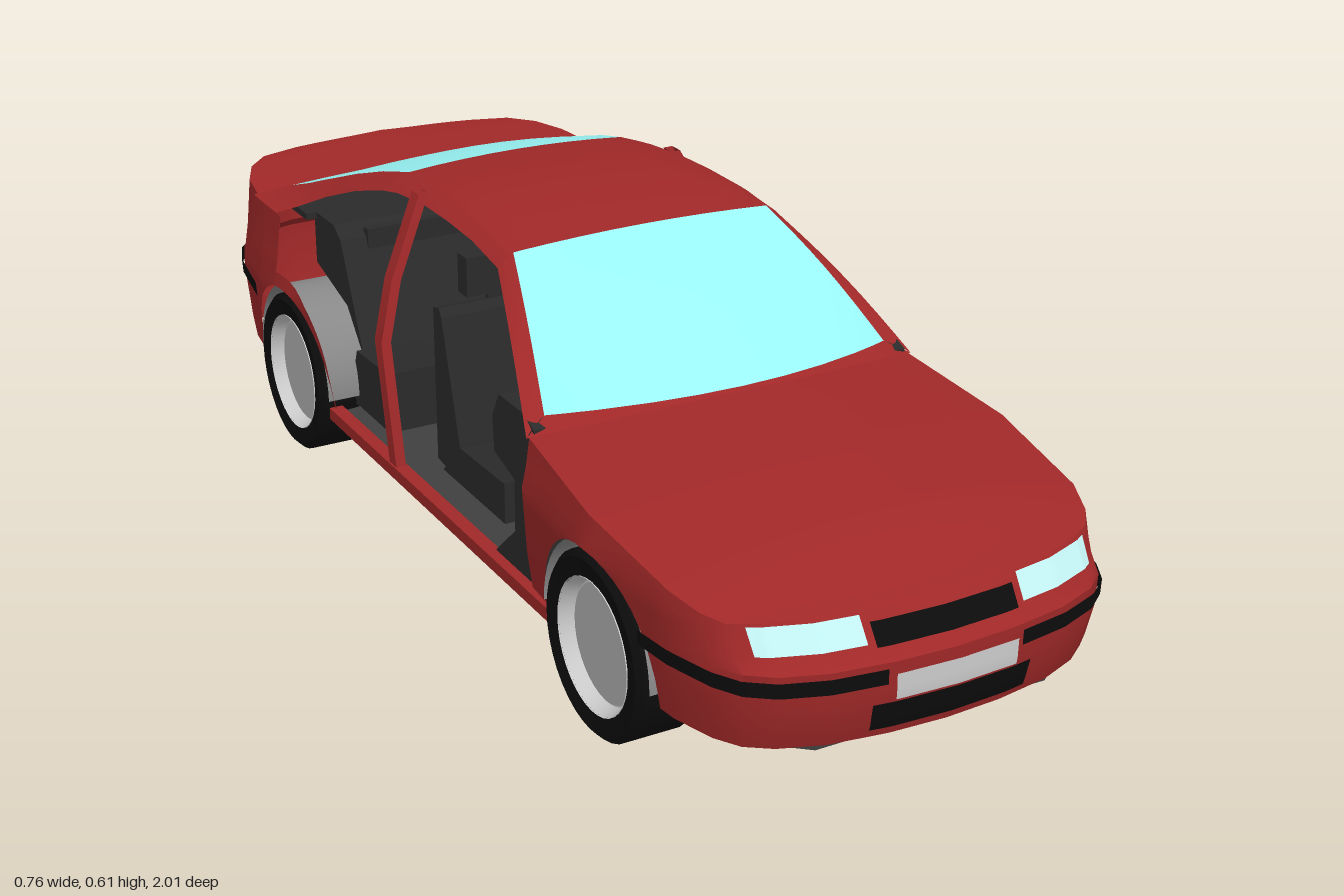
import * as THREE from 'three';
import { toCreasedNormals } from 'three/addons/utils/BufferGeometryUtils.js';

const mat = (color) => new THREE.MeshStandardMaterial({ color, side: THREE.DoubleSide });
const RED = mat(0xa02828), BLACK = mat(0x0c0c0c), TRIM = mat(0x2a2a2a), FLOOR = mat(0x404040),
  GREY = mat(0x888888), SILVER = mat(0xcccccc), GLASS = mat(0x99f5f5), LAMP = mat(0xc4f4f4);
const lerp = THREE.MathUtils.lerp, clamp = THREE.MathUtils.clamp;

// Piecewise linear lookup in a table of [key, value], keys ascending
function look(table, v) {
  if (v <= table[0][0]) return table[0][1];
  for (let i = 1; i < table.length; i++) {
    const [a, p] = table[i - 1], [b, q] = table[i];
    if (v <= b) return lerp(p, q, (v - a) / (b - a));
  }
  return table[table.length - 1][1];
}

// Surface through equal-length rows of points
function grid(rows) {
  const n = rows[0].length, index = [];
  for (let i = 0; i < rows.length - 1; i++) for (let j = 0; j < n - 1; j++) {
    const a = i * n + j, b = a + n;
    index.push(a, b, a + 1, b, b + 1, a + 1);
  }
  const g = new THREE.BufferGeometry();
  g.setAttribute('position', new THREE.Float32BufferAttribute(rows.flat(2), 3));
  g.setIndex(index);
  return toCreasedNormals(g, 0.6);
}
const flip = (row) => row.map(([x, y, z]) => [-x, y, z]);
const full = (row) => [...flip(row).reverse(), ...row.slice(1)]; // row starts on the centre line

// Plan outline [x, z] of each end, from the tip round to the door opening
const ends = {
  front: {
    sign: 1, axle: 0.6,
    outline: [[0, 1], [0.1, 0.995], [0.2, 0.98], [0.27, 0.955], [0.31, 0.925], [0.335, 0.88], [0.357, 0.8], [0.38, 0.6], [0.362, 0.37]],
    levels: [0.125, 0.15, 0.2, 0.25, 0.265, 0.285, 0.31, 0.345, 0.39],
    insetZ: [[0.12, 0.02], [0.15, 0.01], [0.2, 0], [0.25, 0], [0.265, 0.02], [0.31, 0.05]],
    top: (z) => look([[0.37, 0.39], [0.6, 0.365], [0.85, 0.325], [0.92, 0.31]], z),
  },
  rear: {
    sign: -1, axle: -0.58,
    outline: [[0, -1], [0.2, -0.993], [0.28, -0.97], [0.325, -0.92], [0.355, -0.84], [0.375, -0.7], [0.378, -0.58], [0.365, -0.41]],
    levels: [0.125, 0.17, 0.25, 0.28, 0.3, 0.36, 0.4, 0.45],
    insetZ: [[0.12, 0.025], [0.17, 0.01], [0.25, 0], [0.28, 0], [0.3, 0.025], [0.45, 0.03]],
    top: (z) => z > -0.62 ? arch(z, -0.58) + 0.025 : look([[-0.95, 0.45], [-0.75, 0.44]], z),
  },
};
const insetX = [[0.12, 0.05], [0.2, 0.02], [0.31, 0], [0.36, 0.03], [0.45, 0.055]];
const R = 0.165;
function arch(z, axle) {
  const d = Math.abs(z - axle);
  return d < R ? 0.148 + Math.sqrt(R * R - d * d) : 0.125;
}
function bodyPoint(end, x, y, z) {
  const w = clamp((Math.abs(z) - 0.8) / 0.15, 0, 1);
  return [x * (1 - look(insetX, y)), y, z - end.sign * w * look(end.insetZ, y)];
}
// Outline stations, refined round the wheel arch, tip first
function stations(end) {
  const byZ = end.outline.map(([x, z]) => [z, x]).sort((a, b) => a[0] - b[0]);
  const zs = byZ.map((p) => p[0]);
  for (let i = 0; i <= 20; i++) zs.push(end.axle + R * 0.9999 * Math.cos(Math.PI * i / 20));
  zs.push(end.axle + R + 0.001, end.axle - R - 0.001);
  if (end.sign < 0) zs.push(-0.6199, -0.6201, -0.76);
  return [...new Set(zs)].sort((a, b) => end.sign * (b - a)).map((z) => [look(byZ, z), z]);
}
const sideColumn = (end, [x, z]) => end.levels.map((l) => {
  const top = end.top(z);
  return bodyPoint(end, x, l === end.levels.at(-1) ? top : clamp(l, Math.min(arch(z, end.axle), top), top), z);
});

// Thin panel following the bumper surface
function patch(end, x0, x1, y0, y1, out = 0.005) {
  const rows = [];
  for (let j = 0; j <= 4; j++) {
    const y = lerp(y0, y1, j / 4), row = [];
    for (let i = 0; i <= 32; i++) {
      const x = lerp(x0, x1, i / 32);
      const p = bodyPoint(end, x, y, look(end.outline.slice(0, -1), Math.abs(x)));
      row.push([p[0] * 1.012, y, p[2] + end.sign * out]);
    }
    rows.push(row);
  }
  return grid(rows);
}

// Side profile [z, y] extruded across the car
function across(profile, width, x = 0) {
  const g = new THREE.ExtrudeGeometry(new THREE.Shape(profile.map((p) => new THREE.Vector2(...p))), { depth: width, bevelEnabled: false });
  return g.rotateY(-Math.PI / 2).translate(x + width / 2, 0, 0);
}

export function createModel() {
  const car = new THREE.Group();
  const add = (name, geo, material, x = 0, y = 0, z = 0) => {
    const m = new THREE.Mesh(geo, material);
    m.name = name;
    m.position.set(x, y, z);
    car.add(m);
    return m;
  };
  const { front, rear } = ends;

  // Bonnet, front wings and front bumper in one skin
  const hoodHeight = [[0.37, 0.42], [0.6, 0.4], [0.78, 0.372], [0.9, 0.345], [0.95, 0.328], [1, 0.31]];
  const frontRows = stations(front).map((s) => {
    const side = sideColumn(front, s), [ex, ey, ez] = side.at(-1);
    const bend = 0.06 * clamp((0.9 - s[1]) / 0.5, 0, 1), yc = look(hoodHeight, s[1]);
    const top = [0, 0.2, 0.4, 0.6, 0.8, 0.92].map((t) => [ex * t, lerp(yc, ey, t * t), ez + bend * (1 - t * t)]);
    return full([...top, ...side.reverse()]);
  });
  add('bonnetAndWings', grid(frontRows), RED);

  // Rear quarters, tail and boot lid
  const rearStations = stations(rear);
  const quarter = rearStations.map((s) => sideColumn(rear, s));
  add('rearQuartersAndTail', grid([...quarter.map(flip).reverse(), ...quarter]), RED);
  const deck = rearStations.map((s, i) => [s[1], quarter[i].at(-1)]).filter(([z]) => z <= -0.759)
    .map(([, [x, y, z]]) => full([0, 0.3, 0.6, 0.8, 1].map((t) => [x * t, lerp(0.456, y, t * t), z])));
  add('bootLid', grid(deck), RED);

  // Roof, rails and rear window: z, opening edge x y, glass edge x y, centre y
  const frames = [
    [0.1, 0.265, 0.56, 0.237, 0.582, 0.59], [0, 0.262, 0.574, 0.225, 0.595, 0.602], [-0.1, 0.26, 0.577, 0.22, 0.598, 0.605],
    [-0.2, 0.258, 0.575, 0.215, 0.597, 0.604], [-0.3, 0.26, 0.565, 0.211, 0.588, 0.597], [-0.36, 0.264, 0.553, 0.211, 0.578, 0.588],
    [-0.45, 0.277, 0.527, 0.222, 0.555, 0.569], [-0.54, 0.297, 0.492, 0.236, 0.526, 0.543], [-0.61, 0.326, 0.457, 0.25, 0.5, 0.517],
    [-0.64, 0.357, 0.441, 0.257, 0.489, 0.505], [-0.7, 0.357, 0.441, 0.268, 0.466, 0.48], [-0.76, 0.355, 0.44, 0.277, 0.446, 0.456]];
  const crown = ([z, , , xr, yr, yc]) => [0, 0.25, 0.5, 0.75, 1].map((t) => [xr * t, lerp(yc, yr, t * t), z]);
  const edge = ([z, xe, ye, xr, yr]) => [[xr, yr, z], [lerp(xr, xe, 0.6), lerp(yr, ye, 0.5), z], [xe, ye, z]];
  add('roof', grid(frames.slice(0, 6).map((f) => full([...crown(f), ...edge(f).slice(1)]))), RED);
  add('rearWindow', grid(frames.slice(5).map((f) => full(crown(f)))), GLASS);
  const rail = frames.slice(5).map(edge);

  // Windscreen, screen pillars and the scuttle below the glass
  const screen = [], pillar = [];
  for (let i = 0; i <= 8; i++) {
    const u = i / 8, b = 0.01 * Math.sin(Math.PI * u), xe = lerp(0.237, 0.312, u), ye = lerp(0.582, 0.412, u) + b, ze = lerp(0.1, 0.35, u);
    screen.push(full([0, 0.25, 0.5, 0.75, 0.9, 1].map((t) => [xe * t, lerp(lerp(0.59, 0.424, u) + b, ye, t * t), lerp(lerp(0.1, 0.422, u), ze, t * t)])));
    const o = [lerp(0.265, 0.353, u), lerp(0.56, 0.39, u) + b, lerp(0.1, 0.37, u)];
    pillar.push([[xe, ye, ze], [lerp(xe, o[0], 0.6), lerp(ye, o[1], 0.5), lerp(ze, o[2], 0.5)], o]);
  }
  add('windscreen', grid(screen), GLASS);
  const hoodEnd = [0, 0.25, 0.5, 0.75, 0.9, 1].map((t) => [0.353 * t, lerp(0.42, 0.39, t * t), 0.37 + 0.06 * (1 - t * t)]);
  add('scuttle', grid([screen.at(-1), full(hoodEnd)]), RED);

  // Door pillar as a swept strip with a closed section
  const post = [[0.355, 0.12, -0.14], [0.357, 0.35, -0.183], [0.325, 0.45, -0.205], [0.256, 0.585, -0.235]].map(([x, y, z]) =>
    [[x, y, z + 0.014], [x, y, z - 0.014], [x - 0.018, y, z - 0.014], [x - 0.018, y, z + 0.014], [x, y, z + 0.014]]);
  for (const s of [1, -1]) {
    const m = (rows) => grid(s > 0 ? rows : rows.map(flip));
    add('rearRoofPillar', m(rail), RED);
    add('screenPillar', m(pillar), RED);
    add('doorPillar', m(post), RED);
    add('sill', new THREE.BoxGeometry(0.025, 0.022, 0.86), RED, s * 0.346, 0.124, 0.012);
  }

  // Bumper and nose details
  add('grille', patch(front, -0.12, 0.12, 0.267, 0.298), BLACK);
  add('frontPlate', patch(front, -0.104, 0.104, 0.194, 0.235, 0.008), SILVER);
  add('airIntake', patch(front, -0.137, 0.137, 0.142, 0.188), BLACK);
  add('rearBumperStrip', patch(rear, -0.372, 0.372, 0.25, 0.277), BLACK);
  add('rearPlate', patch(rear, -0.11, 0.11, 0.325, 0.375), GREY);
  for (const s of [1, -1]) {
    add('headlight', patch(front, s * 0.132, s * 0.286, 0.272, 0.308), LAMP);
    add('frontBumperStrip', patch(front, s * 0.115, s * 0.365, 0.219, 0.243), BLACK);
  }

  // Floor pan, narrowed between the wheels
  const plan = [[0.2, 0.95], [0.27, 0.89], [0.27, 0.44], [0.345, 0.43], [0.345, -0.41], [0.27, -0.42], [0.27, -0.9], [0.2, -0.95]];
  const pan = new THREE.Shape([...plan, ...plan.map(([x, z]) => [-x, z]).reverse()].map((p) => new THREE.Vector2(...p)));
  add('floorPan', new THREE.ExtrudeGeometry(pan, { depth: 0.014, bevelEnabled: false }).rotateX(Math.PI / 2), FLOOR, 0, 0.127, 0);

  // Wheels and arch liners
  const tyre = [[0.107, -0.05], [0.138, -0.055], [0.148, -0.045], [0.148, 0.045], [0.138, 0.055], [0.107, 0.05]].map((p) => new THREE.Vector2(...p));
  const rim = [[0, -0.028], [0.097, -0.028], [0.108, -0.052], [0.108, 0.052], [0.097, 0.028], [0, 0.028]].map((p) => new THREE.Vector2(...p));
  for (const s of [1, -1]) for (const { axle } of [front, rear]) {
    const turn = (pts) => toCreasedNormals(new THREE.LatheGeometry(pts, 36).rotateZ(Math.PI / 2), 0.6);
    add('tyre', turn(tyre), BLACK, s * 0.314, 0.148, axle);
    add('wheelRim', turn(rim), SILVER, s * 0.314, 0.148, axle);
    add('wheelDisc', new THREE.CylinderGeometry(0.094, 0.094, 0.06, 36).rotateZ(Math.PI / 2), mat(0xb0b0b0), s * 0.314, 0.148, axle);
    add('archLiner', new THREE.CylinderGeometry(0.164, 0.164, 0.12, 24, 1, true, 0, Math.PI).rotateZ(Math.PI / 2), GREY, s * 0.3, 0.148, axle);
    add('archWall', new THREE.CircleGeometry(0.164, 24, 0, Math.PI).rotateY(Math.PI / 2), FLOOR, s * 0.24, 0.148, axle);
  }

  // Cabin: dashboard, seats and steering wheel
  add('dashboard', across([[0.37, 0.125], [0.37, 0.4], [0.33, 0.415], [0.25, 0.415], [0.225, 0.37], [0.23, 0.31], [0.3, 0.29], [0.3, 0.2], [0.22, 0.127]], 0.68), TRIM);
  for (const s of [1, -1]) {
    add('frontSeatCushion', across([[0.14, 0.125], [0.14, 0.2], [-0.04, 0.195], [-0.1, 0.125]], 0.22, s * 0.17), TRIM);
    add('frontSeatBack', across([[-0.02, 0.13], [-0.03, 0.2], [-0.09, 0.41], [-0.1, 0.425], [-0.122, 0.42], [-0.12, 0.14]], 0.22, s * 0.17), TRIM);
    add('headrest', new THREE.BoxGeometry(0.12, 0.07, 0.035), TRIM, s * 0.17, 0.472, -0.11);
    add('headrestPost', new THREE.BoxGeometry(0.03, 0.04, 0.01), TRIM, s * 0.17, 0.43, -0.11);
  }
  add('rearBench', across([[-0.28, 0.125], [-0.28, 0.24], [-0.42, 0.235], [-0.46, 0.125]], 0.6), TRIM);
  add('rearSeatBack', across([[-0.41, 0.22], [-0.5, 0.42], [-0.53, 0.44], [-0.62, 0.44], [-0.62, 0.34], [-0.48, 0.3]], 0.58), TRIM);
  add('rearBulkhead', new THREE.BoxGeometry(0.48, 0.31, 0.02), TRIM, 0, 0.28, -0.5);
  add('parcelShelf', new THREE.BoxGeometry(0.62, 0.012, 0.16), TRIM, 0, 0.434, -0.69);
  const wheel = new THREE.Group();
  wheel.name = 'steeringWheel';
  wheel.add(new THREE.Mesh(new THREE.TorusGeometry(0.065, 0.008, 8, 28), TRIM));
  wheel.add(new THREE.Mesh(new THREE.BoxGeometry(0.125, 0.02, 0.01), TRIM));
  wheel.add(new THREE.Mesh(new THREE.CylinderGeometry(0.014, 0.014, 0.1, 12).rotateX(Math.PI / 2).translate(0, 0, 0.05), TRIM));
  wheel.position.set(0.17, 0.35, 0.185);
  wheel.rotation.x = 0.25;
  car.add(wheel);
  return car;
}
